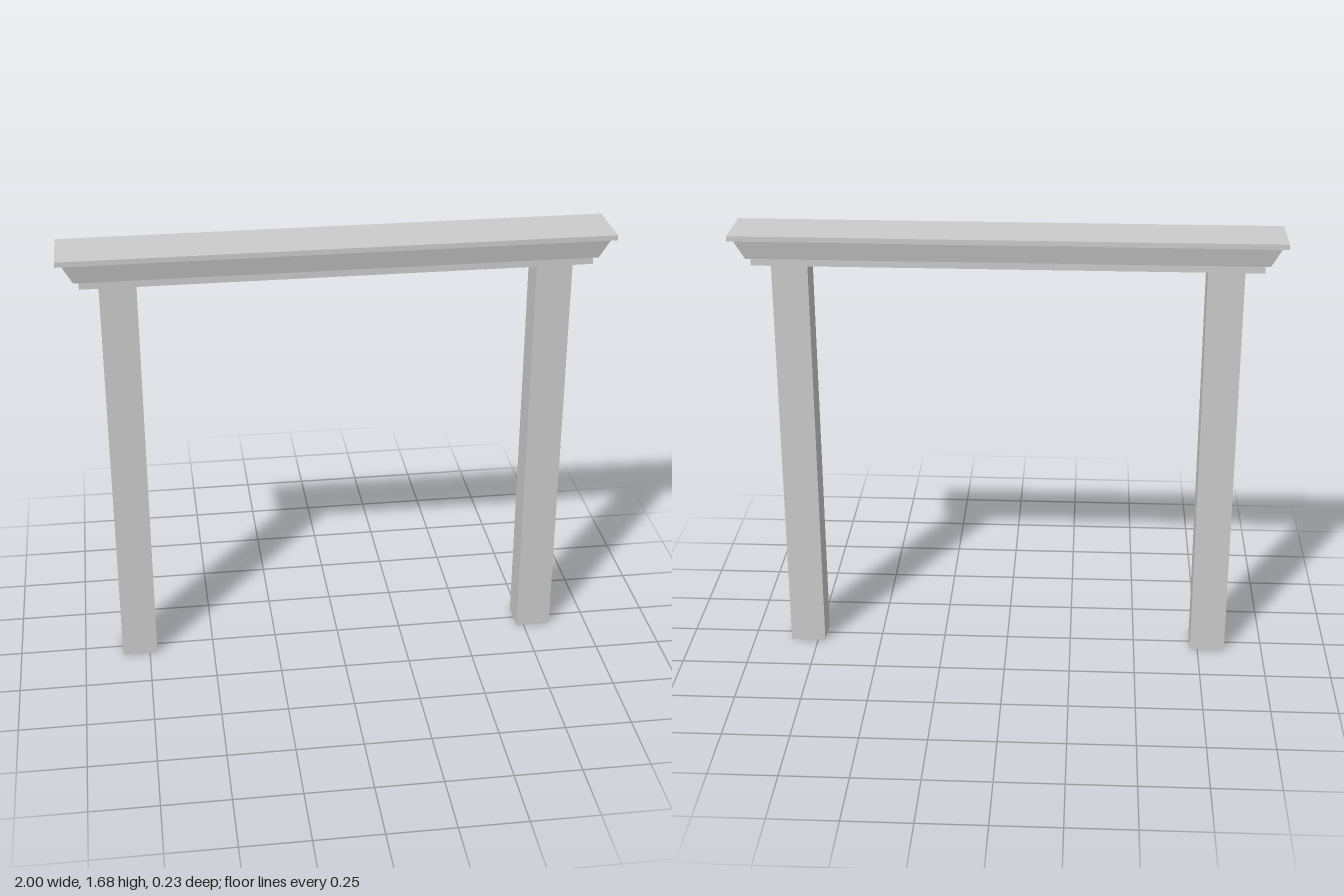
import * as THREE from 'three';

export function createModel() {
  const model = new THREE.Group();
  const material = new THREE.MeshStandardMaterial({
    color: 0xcccccc, flatShading: true, side: THREE.DoubleSide,
  });

  const add = (name, geometry, x, y) => {
    const mesh = new THREE.Mesh(geometry, material);
    mesh.name = name;
    mesh.position.set(x, y, 0);
    model.add(mesh);
  };

  // Box between two heights, its lower end scaled in x and z for a taper
  const block = (name, width, depth, y0, y1, sx = 1, sz = 1) => {
    const geometry = new THREE.BoxGeometry(width, y1 - y0, depth);
    const p = geometry.attributes.position;
    for (let i = 0; i < p.count; i++) {
      if (p.getY(i) < 0) {
        p.setX(i, p.getX(i) * sx);
        p.setZ(i, p.getZ(i) * sz);
      }
    }
    geometry.computeVertexNormals();
    add(name, geometry, 0, (y0 + y1) / 2);
  };

  // Lintel: base strip, flared moulding and flat cap
  block('lintelBase', 1.844, 0.174, 1.56, 1.587);
  block('lintelMoulding', 1.954, 0.22, 1.587, 1.657, 1.88 / 1.954, 0.188 / 0.22);
  block('lintelCap', 2, 0.228, 1.657, 1.676);

  // Hollow square posts, open at the ends
  const postHeight = 1.56;
  for (const side of [-1, 1]) {
    const geometry = new THREE.CylinderGeometry(Math.SQRT1_2, Math.SQRT1_2, postHeight, 4, 1, true);
    geometry.rotateY(Math.PI / 4);
    geometry.scale(0.133, 1, 0.12);
    add(side > 0 ? 'leftPost' : 'rightPost', geometry, side * 0.788, postHeight / 2);
  }

  return model;
}
